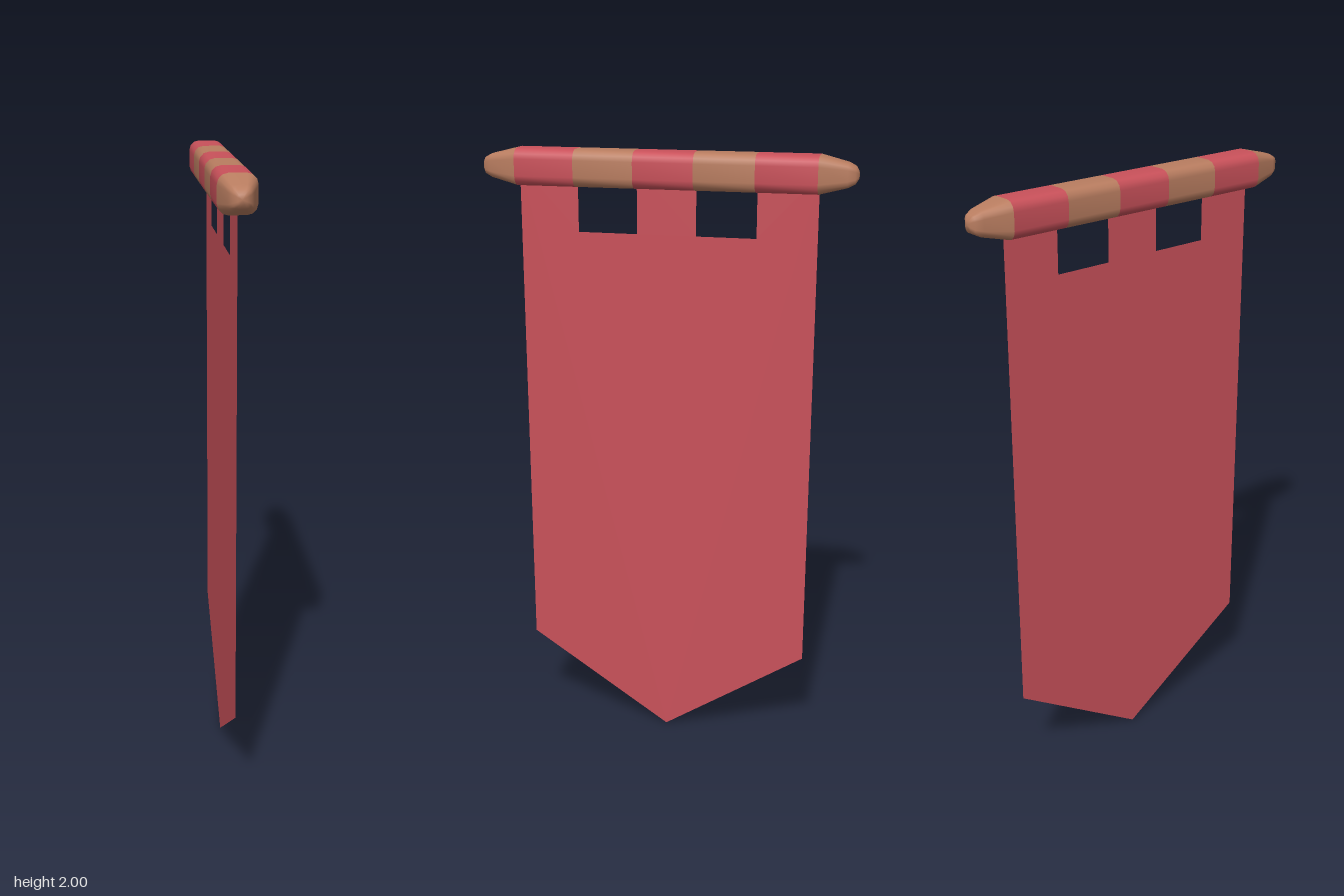
import * as THREE from 'three';

const ROD_Y = 1.943, HALF = 0.058, BAR_END = 0.476, STRAP = 0.095;

// rounded-square outline, half width h, listed counter-clockwise
function outline(h) {
  const r = h * 0.55, c = h - r, pts = [];
  for (let q = 0; q < 4; q++) {
    const sx = q === 0 || q === 3 ? 1 : -1, sy = q < 2 ? 1 : -1;
    for (let i = 0; i <= 3; i++) {
      const a = (q + i / 3) * Math.PI / 2;
      pts.push([sx * c + r * Math.cos(a), sy * c + r * Math.sin(a)]);
    }
  }
  return pts;
}

// skin through [z, half width] sections of rising z, optionally closed at the last one
function loft(sections, closed) {
  const pos = [], idx = [], n = 16;
  for (const [z, h] of sections) for (const [x, y] of outline(h)) pos.push(x, y, z);
  for (let s = 0; s < sections.length - 1; s++) {
    for (let i = 0; i < n; i++) {
      const a = s * n + i, b = s * n + (i + 1) % n;
      idx.push(a, b, b + n, a, b + n, a + n);
    }
  }
  if (closed) {
    const base = (sections.length - 1) * n, tip = pos.length / 3;
    pos.push(0, 0, sections[sections.length - 1][0] + 0.003);
    for (let i = 0; i < n; i++) idx.push(base + i, base + (i + 1) % n, tip);
  }
  const g = new THREE.BufferGeometry();
  g.setAttribute('position', new THREE.Float32BufferAttribute(pos, 3));
  g.setIndex(idx);
  g.computeVertexNormals();
  return g;
}

export function createModel() {
  const group = new THREE.Group();
  const wood = new THREE.MeshStandardMaterial({ color: 0xb97d60 });
  wood.name = 'wood';
  const red = new THREE.MeshStandardMaterial({ color: 0xc9515a });
  red.name = 'red cloth';
  const redSheet = new THREE.MeshStandardMaterial({ color: 0xc9515a, side: THREE.DoubleSide });
  redSheet.name = 'red cloth sheet';

  const add = (name, geometry, material, y = 0) => {
    const m = new THREE.Mesh(geometry, material);
    m.name = name;
    m.position.y = y;
    group.add(m);
    return m;
  };

  // rod: alternating cloth loops and bare wood
  const band = BAR_END * 2 / 5;
  for (let i = 0; i < 5; i++) {
    const z = -BAR_END + i * band;
    add(i % 2 ? 'rodWood' : 'clothLoop', loft([[z, HALF], [z + band, HALF]], false), i % 2 ? wood : red, ROD_Y);
  }

  // tapered rod ends
  const cap = loft([[BAR_END, HALF], [0.562, 0.037], [0.584, 0.026], [0.592, 0.013]], true);
  add('rodEndFront', cap, wood, ROD_Y);
  add('rodEndBack', cap, wood, ROD_Y).rotation.y = Math.PI;

  // hanging cloth with three straps and a pointed hem
  const W = BAR_END, top = ROD_Y, notch = 1.74, inner = STRAP, outer = 0.286;
  const shape = new THREE.Shape([
    [0, 0], [W, 0.312], [W, top], [outer, top], [outer, notch], [inner, notch], [inner, top],
    [-inner, top], [-inner, notch], [-outer, notch], [-outer, top], [-W, top], [-W, 0.312],
  ].map(([x, y]) => new THREE.Vector2(x, y)));
  add('bannerCloth', new THREE.ShapeGeometry(shape).rotateY(Math.PI / 2), redSheet);

  return group;
}
